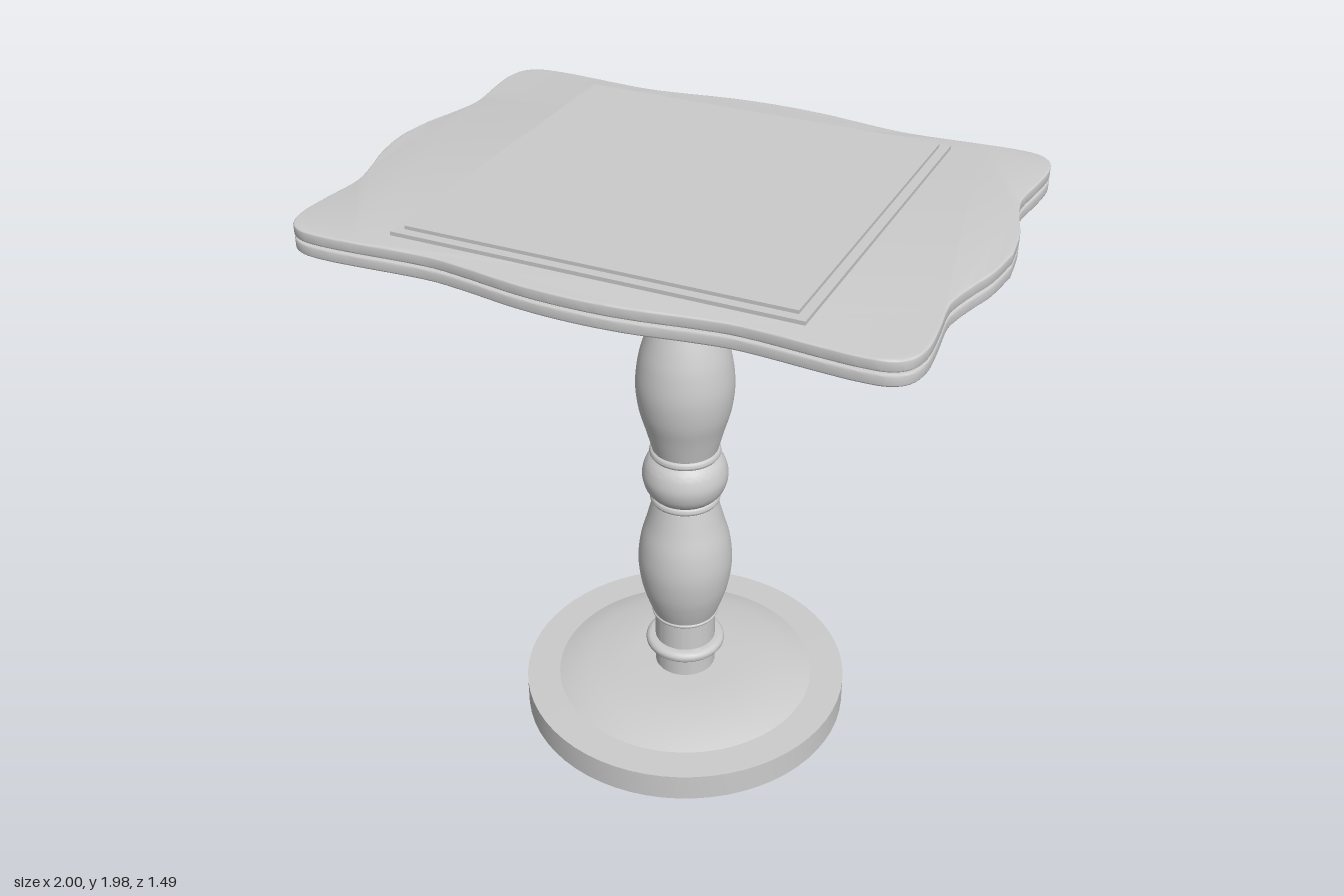
import * as THREE from 'three';
import { toCreasedNormals } from 'three/addons/utils/BufferGeometryUtils.js';

const material = new THREE.MeshStandardMaterial({ color: 0xcccccc });
const v2 = ([x, y]) => new THREE.Vector2(x, y);
const smooth = (pts, n) => new THREE.SplineCurve(pts.map(v2)).getPoints(n);

export function createModel() {
  const model = new THREE.Group();

  function add(name, geometry, crease = 0.6) {
    const mesh = new THREE.Mesh(toCreasedNormals(geometry, crease), material);
    mesh.name = name;
    model.add(mesh);
    return mesh;
  }
  // Turned part: profile of [radius, height] from bottom to top
  const turn = (name, pts) => add(name, new THREE.LatheGeometry(pts.map(p => (p.isVector2 ? p : v2(p))), 64));

  // Turned ring with a rounded rim, between heights y0 and y1
  function ring(name, y0, y1, radius) {
    const h = (y1 - y0) / 2, pts = [[0.09, y0]];
    for (let i = 0; i <= 8; i++) {
      const a = -Math.PI / 2 + (i / 8) * Math.PI;
      pts.push([radius - h + h * Math.cos(a), y0 + h + h * Math.sin(a)]);
    }
    pts.push([0.09, y1]);
    turn(name, pts);
  }

  // Round foot with a sloped shoulder
  turn('base', [[0, 0], [0.565, 0], [0.565, 0.098], [0.45, 0.1]]);
  turn('baseShoulder', [[0.45, 0.1], [0.35, 0.137], [0.18, 0.144], [0, 0.144]]);

  // Column: necks, rings, two mirrored vases and a central bulb
  turn('lowerNeck', [[0.105, 0.14], [0.105, 0.38]]);
  ring('lowerCollar', 0.22, 0.26, 0.138);
  ring('lowerBead', 0.36, 0.375, 0.115);
  const vase = [[0.11, 1.045], [0.13, 1.12], [0.152, 1.2], [0.161, 1.29], [0.151, 1.38], [0.132, 1.45], [0.11, 1.51]];
  const mirrored = vase.map(([r, y]) => [r, 1.88 - y]).reverse();
  turn('lowerVase', smooth(mirrored, 30));
  ring('bulbLowerRing', 0.835, 0.867, 0.119);
  turn('bulb', smooth([[0.108, 0.86], [0.132, 0.89], [0.144, 0.94], [0.132, 0.99], [0.108, 1.02]], 20));
  ring('bulbUpperRing', 1.015, 1.047, 0.119);
  turn('upperVase', smooth(vase, 30));
  ring('upperBead', 1.503, 1.518, 0.115);
  turn('upperNeck', [[0.107, 1.5], [0.105, 1.72]]);
  ring('upperCollar', 1.66, 1.715, 0.143);

  // Flared support under the top
  turn('flare', [[0.09, 1.713], [0.112, 1.713], [0.318, 1.878]]);

  // Scalloped outline: one quarter, mirrored into all four
  const quarter = [[1, 0], [0.984, 0.13], [0.955, 0.23], [0.933, 0.32], [0.93, 0.38], [0.944, 0.5],
    [0.949, 0.6], [0.93, 0.67], [0.88, 0.706], [0.8, 0.714], [0.7, 0.71], [0.48, 0.696],
    [0.35, 0.708], [0.2, 0.732], [0.1, 0.742], [0, 0.745]];
  const back = quarter.slice(1, -1).reverse();
  const outline = [
    ...quarter,
    ...back.map(([x, z]) => [-x, z]),
    ...quarter.map(([x, z]) => [-x, -z]),
    ...back.map(([x, z]) => [x, -z]),
  ].map(v2);
  const loop = new THREE.SplineCurve([...outline, outline[0]]).getPoints(240).slice(0, -1);

  // Horizontal slab from y0 to y1 with a softened edge
  function slab(name, y0, y1, bevel, inset) {
    const shape = new THREE.Shape(loop);
    const geometry = new THREE.ExtrudeGeometry(shape, {
      depth: y1 - y0 - 2 * bevel, bevelEnabled: true, bevelThickness: bevel,
      bevelSize: bevel, bevelOffset: -bevel - inset, bevelSegments: 3,
    });
    geometry.rotateX(-Math.PI / 2).translate(0, y0 + bevel, 0);
    add(name, geometry);
  }
  slab('tabletopLower', 1.876, 1.912, 0.006, 0);
  slab('tabletopGroove', 1.905, 1.925, 0.002, 0.014);
  slab('tabletopUpper', 1.918, 1.954, 0.006, 0);

  // Stepped square panel on the top
  const panel = (name, size, y0, y1) =>
    add(name, new THREE.BoxGeometry(size, y1 - y0, size)).position.set(0, (y0 + y1) / 2, 0);
  panel('panelFrame', 1.255, 1.95, 1.966);
  panel('panel', 1.195, 1.96, 1.977);

  return model;
}
